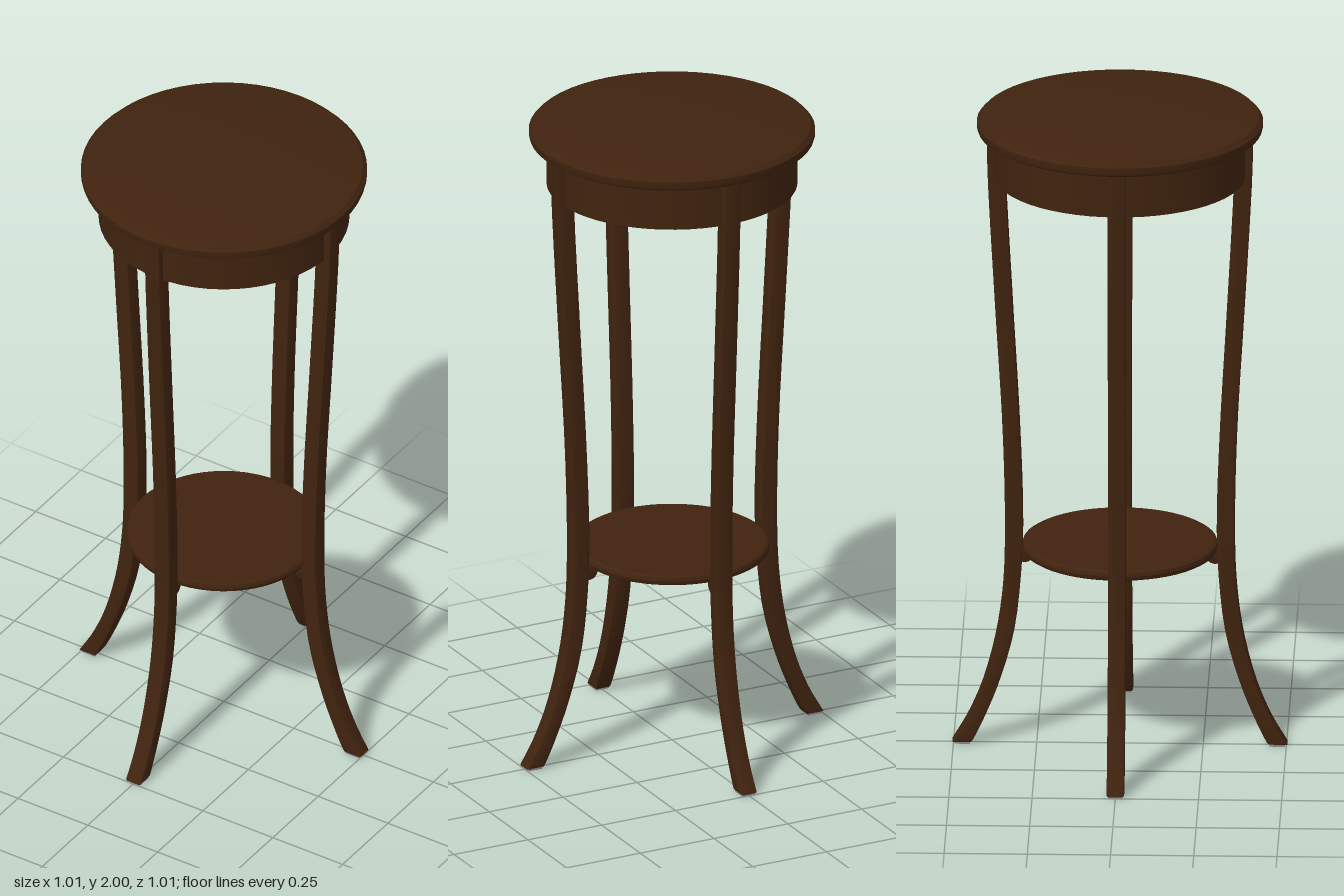
import * as THREE from 'three';
import { toCreasedNormals } from 'three/addons/utils/BufferGeometryUtils.js';

const wood = new THREE.MeshStandardMaterial({ color: 0x40230f });
wood.name = 'darkWood';
const felt = new THREE.MeshStandardMaterial({ color: 0x85858d });
felt.name = 'greyPad';

function addMesh(parent, name, geometry, material = wood) {
  const mesh = new THREE.Mesh(geometry, material);
  mesh.name = name;
  parent.add(mesh);
  return mesh;
}

// Turned part: profile of [radius, height] from the bottom centre to the top centre
function turned(profile, segments = 56) {
  const points = profile.map(([r, y]) => new THREE.Vector2(r, y));
  return toCreasedNormals(new THREE.LatheGeometry(points, segments), 0.5);
}

// Side outline (x outward, y up) extruded to a centred width with softened edges
function board(shape, width, bevel) {
  const geometry = new THREE.ExtrudeGeometry(shape, {
    depth: width - 2 * bevel, curveSegments: 10,
    bevelEnabled: true, bevelThickness: bevel, bevelSize: bevel, bevelOffset: -bevel, bevelSegments: 2,
  });
  geometry.translate(0, 0, bevel - width / 2);
  return toCreasedNormals(geometry, 0.6);
}

// Sabre leg: tapers inward to the shelf, then sweeps out to the foot
function legShape() {
  const outer = [[0.503, 0.006], [0.455, 0.09], [0.41, 0.2], [0.37, 0.36], [0.35, 0.52],
    [0.345, 0.7], [0.352, 1.0], [0.375, 1.4], [0.397, 1.81], [0.4, 1.957]];
  const inner = [[0.344, 1.957], [0.343, 1.81], [0.322, 1.4], [0.3, 1.0], [0.291, 0.7],
    [0.297, 0.54], [0.318, 0.36], [0.362, 0.2], [0.405, 0.09], [0.44, 0.016], [0.447, 0.006]];
  const sample = (list, n) => new THREE.CatmullRomCurve3(
    list.map(([x, y]) => new THREE.Vector3(x, y, 0)), false, 'centripetal',
  ).getPoints(n).map((p) => new THREE.Vector2(p.x, p.y));
  return new THREE.Shape([...sample(outer, 32), ...sample(inner, 32)]);
}

export function createModel() {
  const table = new THREE.Group();
  table.name = 'pedestalTable';

  // Round top with a moulded rim
  addMesh(table, 'tableTop', turned([
    [0, 1.954], [0.418, 1.954], [0.427, 1.96], [0.43, 1.97], [0.43, 1.985],
    [0.424, 1.991], [0.418, 1.998], [0.412, 2], [0, 2],
  ]));

  // Apron drum with a slightly recessed underside
  addMesh(table, 'apron', turned([
    [0, 1.825], [0.358, 1.825], [0.358, 1.81], [0.377, 1.81], [0.377, 1.956], [0, 1.956],
  ]));

  // Lower shelf with a rounded edge
  addMesh(table, 'shelf', turned([
    [0, 0.618], [0.283, 0.618], [0.291, 0.623], [0.294, 0.634], [0.291, 0.645], [0.283, 0.65], [0, 0.65],
  ]));

  // Four identical legs with brackets and foot pads
  const legGeometry = board(legShape(), 0.053, 0.006);
  const bracketShape = new THREE.Shape();
  bracketShape.moveTo(0.305, 0.62);
  bracketShape.lineTo(0.258, 0.62);
  bracketShape.lineTo(0.258, 0.606);
  bracketShape.quadraticCurveTo(0.262, 0.578, 0.288, 0.578);
  bracketShape.lineTo(0.305, 0.582);
  const bracketGeometry = board(bracketShape, 0.03, 0.003);
  const padGeometry = new THREE.BoxGeometry(0.046, 0.008, 0.043);
  for (let i = 0; i < 4; i++) {
    const unit = new THREE.Group();
    unit.name = 'legUnit' + (i + 1);
    unit.rotation.y = i * Math.PI / 2;
    addMesh(unit, 'leg', legGeometry);
    addMesh(unit, 'shelfBracket', bracketGeometry);
    addMesh(unit, 'footPad', padGeometry, felt).position.set(0.473, 0.004, 0);
    table.add(unit);
  }
  return table;
}
